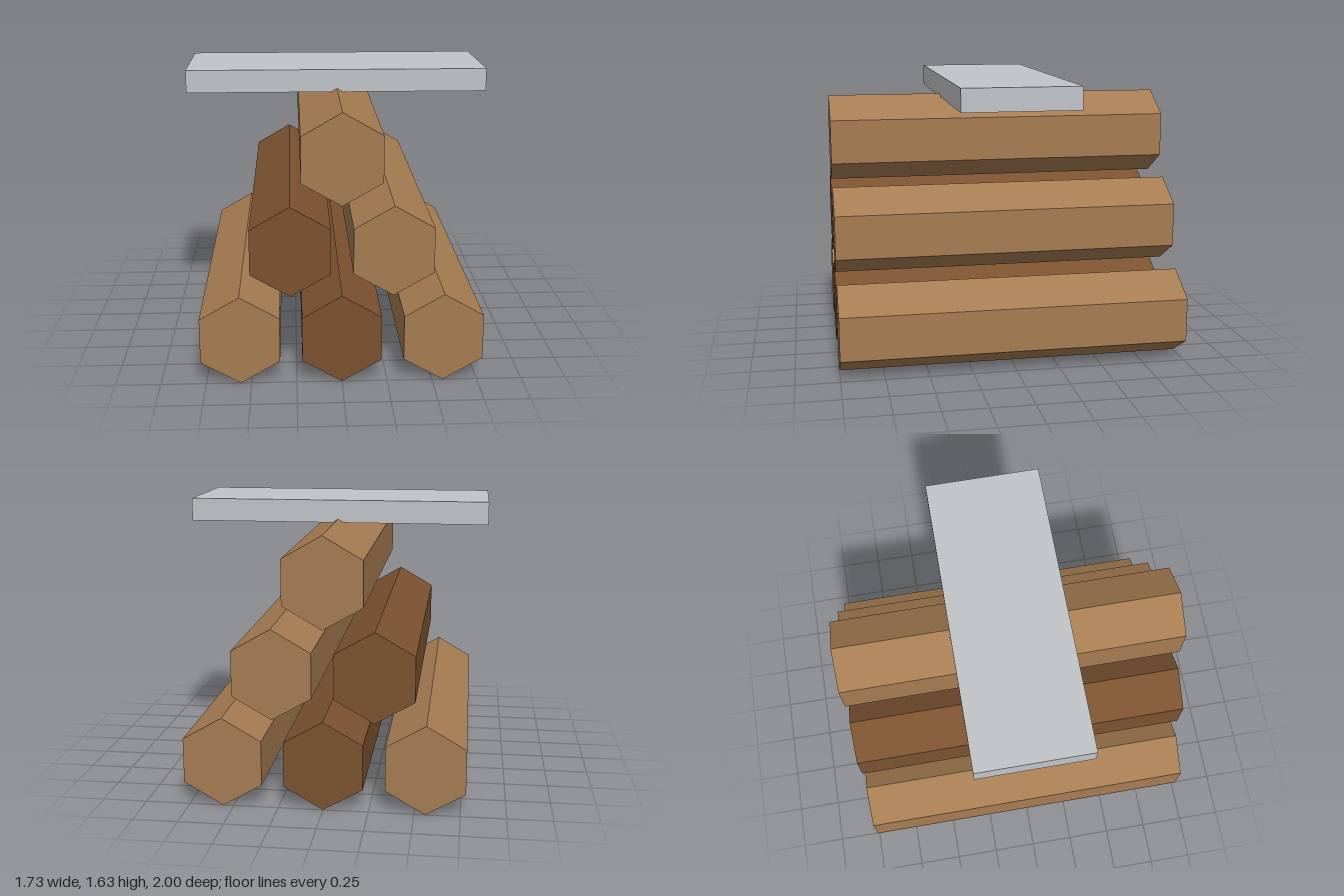
import * as THREE from 'three';

export function createModel() {
  const group = new THREE.Group();
  const material = (name, color) => {
    const m = new THREE.MeshStandardMaterial({ color, flatShading: true });
    m.name = name;
    return m;
  };
  const lightWood = material('light wood', 0xa67c52);
  const darkWood = material('dark wood', 0x7b5230);
  const paleGrey = material('pale grey', 0xc0c4c8);

  // Hexagonal logs lying along z, points up, stacked 3-2-1
  const radius = 0.2526, stepX = 0.56, stepY = 0.507;
  const logGeometry = new THREE.CylinderGeometry(radius, radius, 2, 6);
  logGeometry.rotateX(Math.PI / 2);
  const rows = [
    [lightWood, darkWood, lightWood],
    [darkWood, lightWood],
    [lightWood],
  ];
  rows.forEach((row, r) => row.forEach((wood, i) => {
    const log = new THREE.Mesh(logGeometry, wood);
    log.name = `logRow${r + 1}Number${i + 1}`;
    log.position.set((i - (row.length - 1) / 2) * stepX, radius + r * stepY, 0);
    group.add(log);
  }));

  // Flat slab resting across the top log
  const slab = new THREE.Mesh(new THREE.BoxGeometry(1.73, 0.13, 0.665), paleGrey);
  slab.name = 'topSlab';
  slab.position.y = 1.564;
  group.add(slab);

  return group;
}
